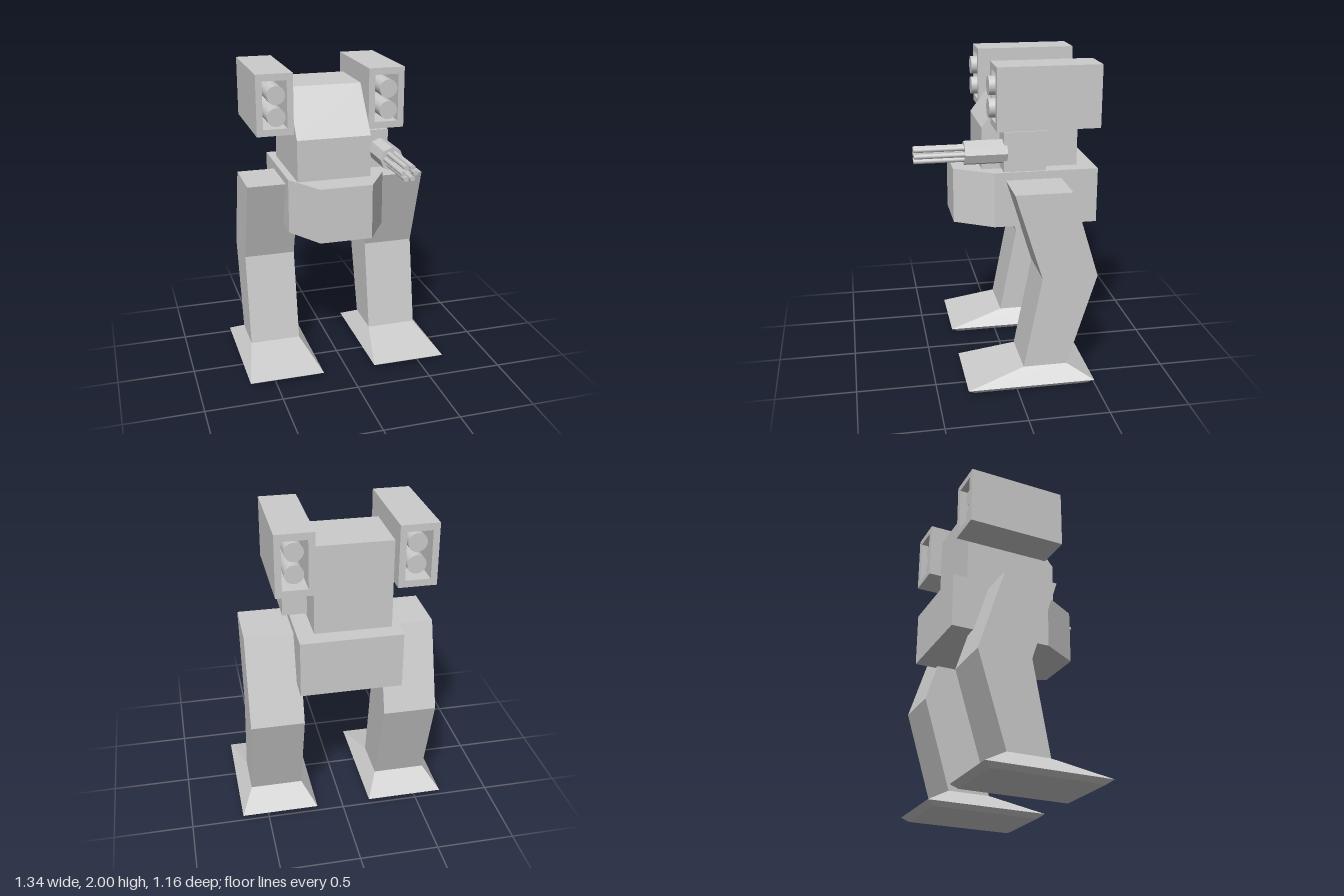
import * as THREE from 'three';
import { ConvexGeometry } from 'three/addons/geometries/ConvexGeometry.js';

const flat = new THREE.MeshStandardMaterial({ color: 0xcccccc, flatShading: true });
const smooth = new THREE.MeshStandardMaterial({ color: 0xcccccc });

function add(parent, name, geometry, material = flat) {
  const mesh = new THREE.Mesh(geometry, material);
  mesh.name = name;
  parent.add(mesh);
  return mesh;
}

const polygon = (points) => new THREE.Shape(points.map(([a, b]) => new THREE.Vector2(a, b)));

const extrude = (shape, depth) => new THREE.ExtrudeGeometry(shape, { depth, bevelEnabled: false });

// Side profile of (z, y) points, extruded from x0 to x1
const sidePrism = (points, x0, x1) =>
  extrude(polygon(points), x1 - x0).rotateY(-Math.PI / 2).translate(x1, 0, 0);

// Cylinder lying along z, from z0 to z1
const rod = (radius, z0, z1, sides) =>
  new THREE.CylinderGeometry(radius, radius, z1 - z0, sides)
    .rotateX(Math.PI / 2).translate(0, 0, (z0 + z1) / 2);

// Four corners of a horizontal rectangle
const ring = (y, halfX, z0, z1) =>
  [[-halfX, z0], [halfX, z0], [halfX, z1], [-halfX, z1]].map(([x, z]) => new THREE.Vector3(x, y, z));

function makeLeg(name, x) {
  const leg = new THREE.Group();
  leg.name = name;
  leg.position.x = x;
  // Bent thigh and shin
  add(leg, 'thighAndShin', sidePrism([
    [0.01, 1.27], [-0.343, 1.27], [-0.513, 0.72], [-0.33, 0.125], [-0.052, 0.125], [-0.165, 0.72],
  ], -0.168, 0.168));
  // Wedge foot with an undercut sole
  add(leg, 'foot', new ConvexGeometry([
    ...ring(0, 0.22, -0.45, 0.268),
    ...ring(0.03, 0.247, -0.495, 0.312),
    ...ring(0.125, 0.168, -0.33, -0.052),
  ]));
  return leg;
}

function makePod(name, x) {
  const pod = new THREE.Group();
  pod.name = name;
  pod.position.set(x, 1.807, 0);
  // Open-ended casing
  const casing = polygon([[-0.117, -0.193], [0.117, -0.193], [0.117, 0.193], [-0.117, 0.193]]);
  casing.holes.push(polygon([[-0.077, -0.15], [-0.077, 0.15], [0.077, 0.15], [0.077, -0.15]]));
  add(pod, 'podCasing', extrude(casing, 0.64).translate(0, 0, -0.55));
  // Two stacked tubes
  for (const y of [0.067, -0.069])
    add(pod, 'launchTube', rod(0.058, -0.515, 0.125, 32), smooth).position.y = y;
  return pod;
}

function makeGun() {
  const gun = new THREE.Group();
  gun.name = 'rotaryGun';
  gun.position.set(0.281, 1.46, 0);
  add(gun, 'gunHousing', rod(0.076, 0.01, 0.272, 8));
  // Ring of six barrels
  for (let i = 0; i < 6; i++) {
    const a = (i * Math.PI) / 3;
    add(gun, 'gunBarrel', rod(0.016, 0.25, 0.58, 12), smooth)
      .position.set(0.04 * Math.cos(a), 0.04 * Math.sin(a), 0);
  }
  return gun;
}

export function createModel() {
  const model = new THREE.Group();
  model.name = 'walker';

  // Hips with a tapered front
  add(model, 'hips', extrude(polygon([
    [-0.343, -0.58], [0.287, -0.58], [0.287, 0.082], [0.14, 0.323], [-0.198, 0.323], [-0.343, 0.082],
  ]), 0.355).rotateX(Math.PI / 2).translate(0, 1.32, 0));

  // Torso with a sloped upper front
  add(model, 'torso', sidePrism([
    [0.146, 1.32], [0.146, 1.588], [-0.077, 1.88], [-0.468, 1.88], [-0.468, 1.32],
  ], -0.297, 0.182));

  // Gun arm on the left side
  add(model, 'gunMount', new THREE.BoxGeometry(0.165, 0.25, 0.264).translate(0.254, 1.465, -0.1));
  model.add(makeGun());

  model.add(makePod('leftPod', 0.302), makePod('rightPod', -0.418));
  model.add(makeLeg('leftLeg', 0.422), makeLeg('rightLeg', -0.425));
  return model;
}
